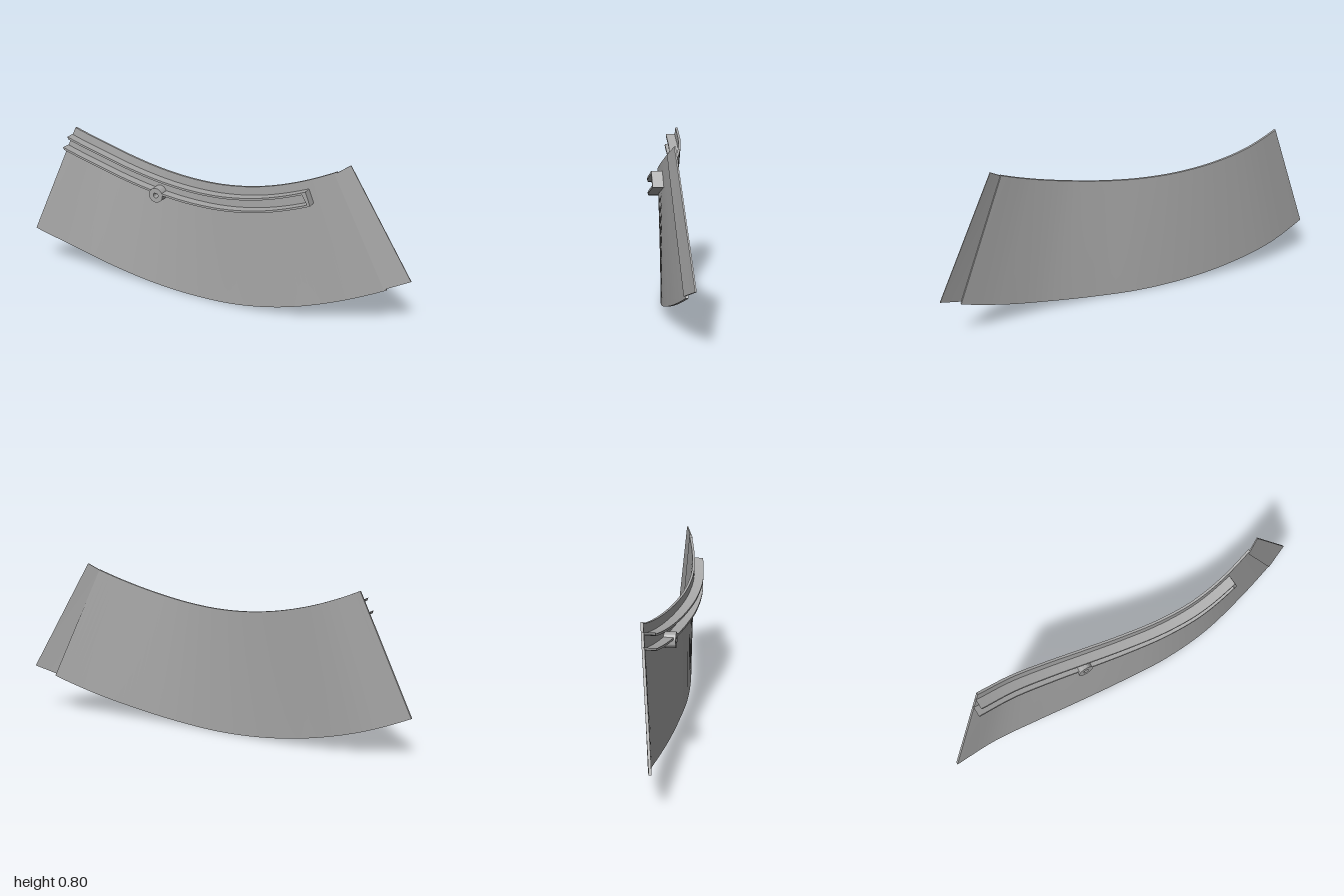
import * as THREE from 'three';
import { toCreasedNormals } from 'three/addons/utils/BufferGeometryUtils.js';

// Panel layout: a fan about a high centre, with S-shaped depth along each arc edge
const CX = -0.052, CY = 2.372, R_BOTTOM = 2.37, R_TOP = 1.752, HALF = 0.42;
const TOP_Z = [-0.055, -0.069, -0.057, -0.031, 0.001, 0.031, 0.045, 0.031, -0.003];
const BOTTOM_Z = [0.01, -0.024, -0.022, -0.007, 0.012, 0.03, 0.022, -0.019, -0.072];

// Smooth interpolation through evenly spaced samples
function sample(values, angle) {
  const last = values.length - 1;
  const s = THREE.MathUtils.clamp((angle + HALF) / (2 * HALF), 0, 1) * last;
  const i = Math.min(Math.floor(s), last - 1), f = s - i;
  const p1 = values[i], p2 = values[i + 1];
  const p0 = i > 0 ? values[i - 1] : 2 * p1 - p2;
  const p3 = i + 2 <= last ? values[i + 2] : 2 * p2 - p1;
  return p1 + 0.5 * f * (p2 - p0 + f * (2 * p0 - 5 * p1 + 4 * p2 - p3 + f * (3 * (p1 - p2) + p3 - p0)));
}

// Point on the curved panel, moved forward by offset
function panelPoint(angle, radius, offset) {
  const t = (R_BOTTOM - radius) / (R_BOTTOM - R_TOP);
  const z = THREE.MathUtils.lerp(sample(BOTTOM_Z, angle), sample(TOP_Z, angle), t);
  return new THREE.Vector3(CX + radius * Math.sin(angle), CY - radius * Math.cos(angle), z + offset);
}

// Closed solid through four-cornered sections, running from left to right in x;
// corners: bottom back, bottom front, top front, top back
function sweep(sections) {
  const positions = [], index = [];
  sections.forEach((s) => s.forEach((p) => positions.push(p.x, p.y, p.z)));
  for (let i = 0; i < sections.length - 1; i++) {
    for (let k = 0; k < 4; k++) {
      const a = 4 * i + k, b = 4 * i + ((k + 1) % 4);
      index.push(a, a + 4, b + 4, a, b + 4, b);
    }
  }
  const e = 4 * (sections.length - 1);
  index.push(0, 1, 2, 0, 2, 3, e, e + 2, e + 1, e, e + 3, e + 2);
  const geometry = new THREE.BufferGeometry();
  geometry.setAttribute('position', new THREE.Float32BufferAttribute(positions, 3));
  geometry.setIndex(index);
  return toCreasedNormals(geometry, 0.6);
}

// Strip that follows the panel between two angles, radii and offsets
function strip(a0, a1, rOut, rIn, back, front, steps = 72) {
  const sections = [];
  for (let i = 0; i <= steps; i++) {
    const lower = THREE.MathUtils.lerp(a0, a1, i / steps);
    const upper = lower - 0.006 * (1 - i / steps) * (R_BOTTOM - rIn) / (R_BOTTOM - R_TOP);
    sections.push([
      panelPoint(lower, rOut, back), panelPoint(lower, rOut, front),
      panelPoint(upper, rIn, front), panelPoint(upper, rIn, back),
    ]);
  }
  return sweep(sections);
}

export function createModel() {
  const model = new THREE.Group();
  const grey = new THREE.MeshStandardMaterial({ color: 0xa8a8a8 });
  grey.name = 'plainGrey';
  const add = (name, geometry) => {
    const mesh = new THREE.Mesh(geometry, grey);
    mesh.name = name;
    model.add(mesh);
    return mesh;
  };

  // Main curved sheet
  add('curvedPanel', strip(-0.412, 0.412, R_BOTTOM, R_TOP, -0.006, 0.006));

  // Open channel: two ledges and a closing plate at one end
  const railFront = 0.054, railEnd = 0.33;
  add('upperLedge', strip(-0.413, railEnd, 1.803, 1.793, 0, railFront));
  add('lowerLedge', strip(-0.413, railEnd, 1.865, 1.855, 0, railFront));
  add('channelEndPlate', strip(railEnd - 0.006, railEnd, 1.865, 1.793, 0, railFront, 1));

  // Small eyelet on the lower ledge
  const ring = new THREE.Shape().absarc(0, 0, 0.037, 0, Math.PI * 2, false);
  ring.holes.push(new THREE.Path().absarc(0, 0, 0.013, 0, Math.PI * 2, true));
  const eyeletGeometry = new THREE.ExtrudeGeometry(ring, { depth: 0.058, bevelEnabled: false, curveSegments: 24 });
  const eyelet = add('eyelet', toCreasedNormals(eyeletGeometry, 0.6));
  eyelet.position.copy(panelPoint(-0.114, 1.873, 0));

  // Flat overlapping strip along the left edge
  const edge = (bottom, top) => {
    const b = new THREE.Vector3(...bottom), t = new THREE.Vector3(...top);
    const back = new THREE.Vector3(0, 0, -0.006);
    return [b.clone().add(back), b, t, t.clone().add(back)];
  };
  add('edgeFlap', sweep([
    edge([0.885, 0.205, -0.054], [0.64, 0.757, 0.011]),
    edge([1, 0.25, -0.097], [0.705, 0.798, -0.019]),
  ]));

  return model;
}
